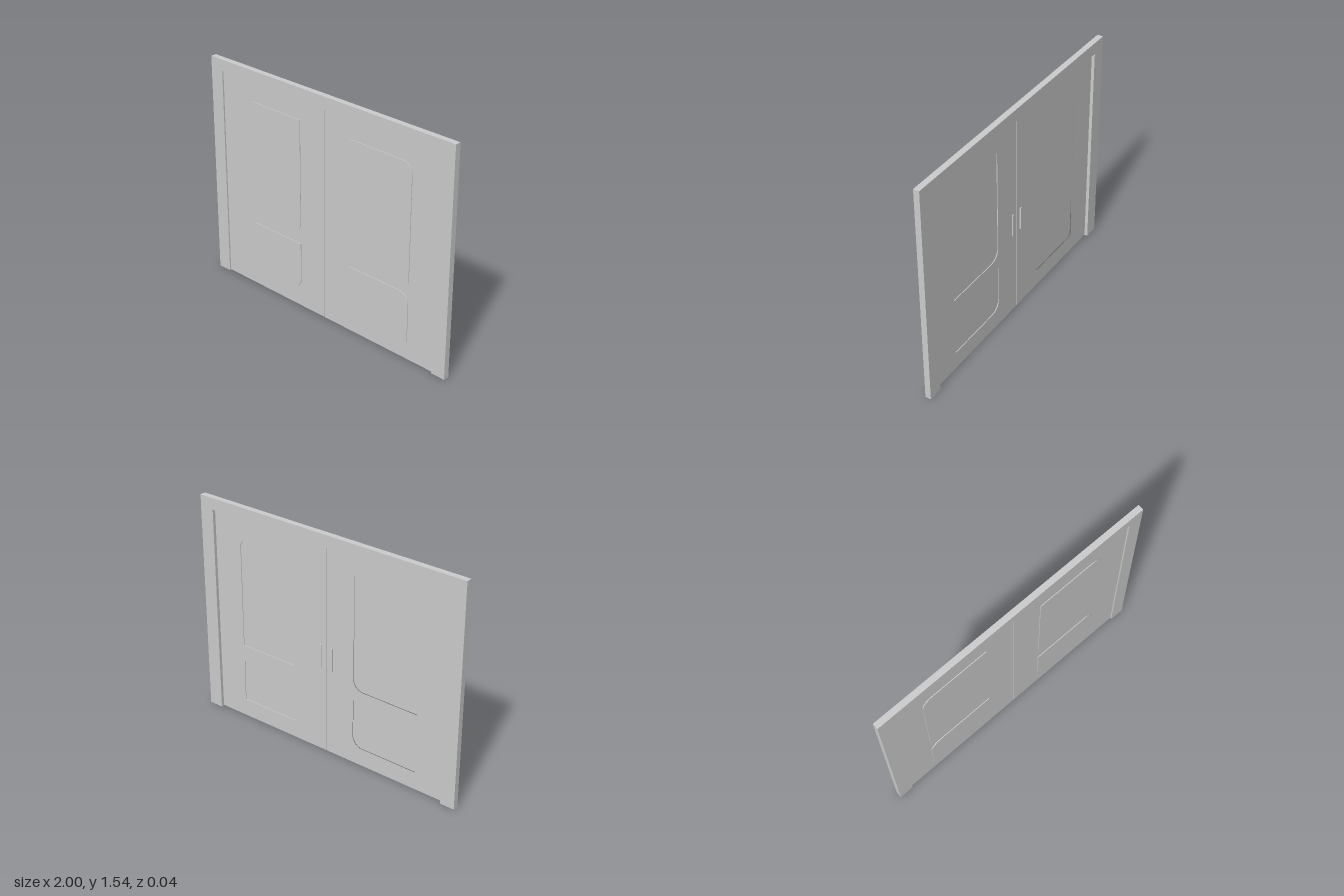
import * as THREE from 'three';

const material = new THREE.MeshStandardMaterial({ color: 0xcccccc, flatShading: true });
const HEIGHT = 1.54, DEPTH = 0.04;
const OPEN_X = 0.9, OPEN_Y = 1.46;      // half width and height of the opening
const DOOR_BACK = 0.002, DOOR_FRONT = 0.01, PANEL_SHIFT = 0.005;

function extrude(name, shape, z0, z1) {
  const geometry = new THREE.ExtrudeGeometry(shape, { depth: z1 - z0, bevelEnabled: false, curveSegments: 10 });
  geometry.translate(0, 0, z0);
  const mesh = new THREE.Mesh(geometry, material);
  mesh.name = name;
  return mesh;
}

function polygon(points) {
  return new THREE.Shape(points.map(([x, y]) => new THREE.Vector2(x, y)));
}

// Panel outline with two opposite corners rounded: outer top and inner bottom
function panelOutline(side, y0, y1) {
  const inner = side * 0.21, outer = side * 0.694, r = 0.075;
  const s = new THREE.Shape();
  s.moveTo(inner + side * r, y0);
  s.lineTo(outer, y0);
  s.lineTo(outer, y1 - r);
  s.absarc(outer - side * r, y1 - r, r, side > 0 ? 0 : Math.PI, Math.PI / 2, side < 0);
  s.lineTo(inner, y1);
  s.lineTo(inner, y0 + r);
  s.absarc(inner + side * r, y0 + r, r, side > 0 ? Math.PI : 0, side > 0 ? Math.PI * 1.5 : -Math.PI / 2, side < 0);
  return s;
}

function createDoor(side) {
  const door = new THREE.Group();
  door.name = side > 0 ? 'leftDoor' : 'rightDoor';
  const inner = side * 0.002, outer = side * OPEN_X, bottom = 0.004;

  // Thin leaf with openings for its two panels
  const leaf = polygon([[inner, bottom], [outer, bottom], [outer, OPEN_Y], [inner, OPEN_Y]]);
  const outlines = {
    lowerPanel: panelOutline(side, 0.128, 0.465),
    upperPanel: panelOutline(side, 0.543, 1.325),
  };
  leaf.holes.push(...Object.values(outlines));
  door.add(extrude('doorLeaf', leaf, DOOR_BACK, DOOR_FRONT));

  // Panels stand proud at the front and are sunk at the back
  for (const [name, outline] of Object.entries(outlines)) {
    door.add(extrude(name, outline, DOOR_BACK + PANEL_SHIFT, DOOR_FRONT + PANEL_SHIFT));
  }

  // Slim pull bar on the back
  const handle = new THREE.Mesh(new THREE.BoxGeometry(0.012, 0.162, 0.01), material);
  handle.name = 'handle';
  handle.position.set(side * 0.045, 0.693, DOOR_BACK - 0.004);
  door.add(handle);
  return door;
}

export function createModel() {
  const model = new THREE.Group();
  model.name = 'doubleDoor';

  // Frame: two posts and a header in one piece
  const frame = polygon([
    [-1, 0], [-OPEN_X, 0], [-OPEN_X, OPEN_Y], [OPEN_X, OPEN_Y],
    [OPEN_X, 0], [1, 0], [1, HEIGHT], [-1, HEIGHT],
  ]);
  model.add(extrude('frame', frame, -DEPTH / 2, DEPTH / 2));

  for (const side of [-1, 1]) model.add(createDoor(side));
  return model;
}
